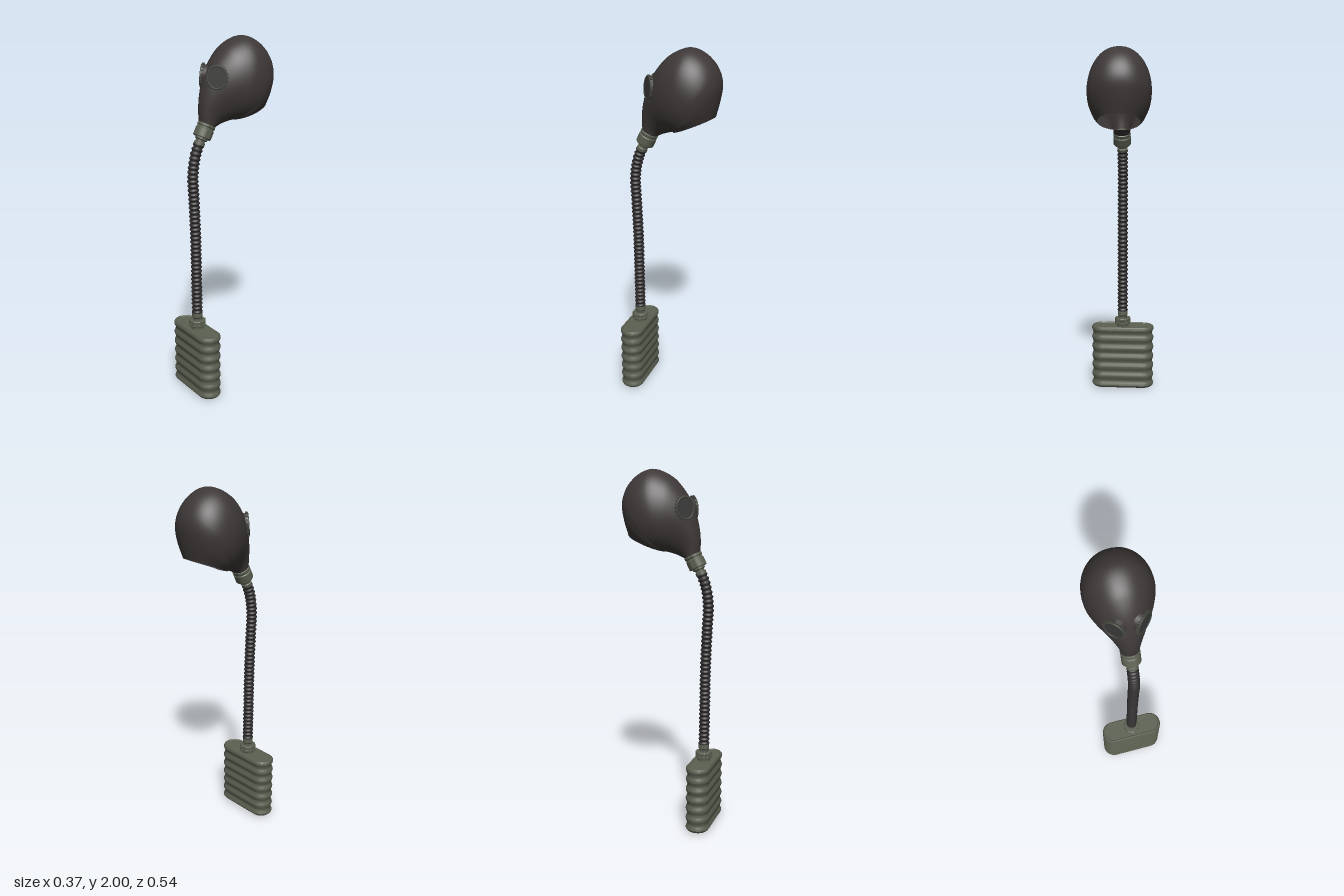
import * as THREE from 'three';
import { toCreasedNormals } from 'three/addons/utils/BufferGeometryUtils.js';

const flat = (name, color, extra = {}) => {
  const m = new THREE.MeshStandardMaterial({ color, ...extra });
  m.name = name;
  return m;
};

// Skin between closed rings; ring(i, angle) returns [x, y, z]
function loft(rings, sides, ring) {
  const pos = [], idx = [];
  for (let i = 0; i < rings; i++)
    for (let j = 0; j < sides; j++) pos.push(...ring(i, ((j + 0.5) / sides) * Math.PI * 2));
  for (let i = 0; i < rings - 1; i++)
    for (let j = 0; j < sides; j++) {
      const k = (j + 1) % sides;
      const a = i * sides + j, b = i * sides + k, c = a + sides, d = b + sides;
      idx.push(a, c, b, c, d, b);
    }
  const g = new THREE.BufferGeometry();
  g.setAttribute('position', new THREE.Float32BufferAttribute(pos, 3));
  g.setIndex(idx);
  g.computeVertexNormals();
  return g;
}

const lathe = (points, sides = 32) =>
  toCreasedNormals(new THREE.LatheGeometry(points.map(p => new THREE.Vector2(...p)), sides), 0.6);

export function createModel() {
  const model = new THREE.Group();
  model.name = 'gasMask';
  const rubber = flat('mask rubber', 0x3e3838, { side: THREE.DoubleSide });
  const hoseMat = flat('hose rubber', 0x302d2e);
  const green = flat('green metal', 0x5b6051);
  const rimMat = flat('eye rim metal', 0x45483f);
  const glass = flat('eye glass', 0x393837);
  const dark = flat('dark opening', 0x2b2d27);

  const add = (parent, name, geo, mat, x = 0, y = 0, z = 0) => {
    const m = new THREE.Mesh(geo, mat);
    m.name = name;
    m.position.set(x, y, z);
    parent.add(m);
    return m;
  };

  // Mask: sections fan from the muzzle over the crown to the open neck
  // each row: upper z, y; lower z, y; half width
  const sections = [
    [0.165, 1.56, 0.082, 1.525, 0.046],
    [0.167, 1.62, 0.068, 1.532, 0.052],
    [0.16, 1.685, 0.05, 1.54, 0.065],
    [0.14, 1.76, 0.03, 1.547, 0.085],
    [0.105, 1.84, 0.02, 1.55, 0.108],
    [0.06, 1.905, 0.01, 1.553, 0.13],
    [0, 1.962, 0, 1.556, 0.15],
    [-0.1, 2.0, -0.01, 1.558, 0.17],
    [-0.18, 1.972, -0.015, 1.56, 0.174],
    [-0.24, 1.912, -0.02, 1.56, 0.17],
    [-0.27, 1.83, -0.02, 1.56, 0.158],
    [-0.26, 1.735, -0.02, 1.56, 0.142],
    [-0.24, 1.65, -0.02, 1.56, 0.116],
  ];
  const upper = new THREE.CatmullRomCurve3(sections.map(s => new THREE.Vector3(s[4], s[1], s[0])));
  const lower = new THREE.CatmullRomCurve3(sections.map(s => new THREE.Vector3(0, s[3], s[2])));
  const steps = (sections.length - 1) * 4;
  add(model, 'maskHood', loft(steps + 1, 48, (i, a) => {
    const u = upper.getPoint(i / steps), l = lower.getPoint(i / steps);
    const s = Math.sin(a), c = Math.cos(a);
    return [
      u.x * Math.sign(c) * Math.pow(Math.abs(c), 0.94),
      (u.y + l.y) / 2 + ((u.y - l.y) / 2) * s,
      (u.z + l.z) / 2 + ((u.z - l.z) / 2) * s,
    ];
  }), rubber);

  // Eyepieces with a toothed rim
  for (const side of [1, -1]) {
    const eye = new THREE.Group();
    eye.name = side > 0 ? 'leftEyepiece' : 'rightEyepiece';
    eye.position.set(side * 0.072, 1.795, 0.106);
    eye.rotation.set(-0.08, side * 0.72, 0, 'YXZ');
    eye.scale.x = 0.88;
    model.add(eye);
    add(eye, 'eyeSeat', new THREE.CylinderGeometry(0.056, 0.062, 0.03, 32).rotateX(Math.PI / 2), rubber, 0, 0, -0.016);
    add(eye, 'eyeLens', new THREE.CylinderGeometry(0.054, 0.054, 0.006, 32).rotateX(Math.PI / 2), glass);
    add(eye, 'eyeRim', new THREE.TorusGeometry(0.058, 0.006, 8, 40), rimMat);
    for (let i = 0; i < 20; i++) {
      const a = (i / 20) * Math.PI * 2;
      const tooth = add(eye, 'rimTooth', new THREE.BoxGeometry(0.008, 0.01, 0.012), rimMat,
        Math.cos(a) * 0.062, Math.sin(a) * 0.062, -0.004);
      tooth.rotation.z = a;
    }
  }

  // Muzzle collar, tilted along the snout
  const collar = add(model, 'muzzleCollar', lathe([
    [0, -0.085], [0.024, -0.085], [0.03, -0.078], [0.03, -0.062], [0.025, -0.058], [0.025, -0.05],
    [0.034, -0.046], [0.034, -0.036], [0.047, -0.036], [0.05, -0.032], [0.05, 0.012], [0.046, 0.016],
    [0.046, 0.022], [0.05, 0.026], [0.05, 0.036], [0.045, 0.04], [0, 0.04],
  ]), green, 0, 1.51, 0.142);
  collar.rotation.x = -0.464;

  // Corrugated hose
  const path = new THREE.CatmullRomCurve3([
    [0.2, 0.47], [0.202, 0.7], [0.204, 0.92], [0.211, 1.13], [0.216, 1.28], [0.2, 1.38], [0.174, 1.45],
  ].map(([z, y]) => new THREE.Vector3(0, y, z)));
  const ribs = 40, perRib = 6, hoseSteps = ribs * perRib;
  add(model, 'hose', loft(hoseSteps + 1, 20, (i, a) => {
    const p = path.getPointAt(i / hoseSteps), t = path.getTangentAt(i / hoseSteps);
    const r = 0.028 - 0.0035 * Math.cos((i / perRib) * Math.PI * 2);
    return [r * Math.cos(a), p.y - t.z * r * Math.sin(a), p.z + t.y * r * Math.sin(a)];
  }), hoseMat);

  // Ribbed filter canister with a rounded-end section: rows of height, inset
  const half = 0.119, radius = 0.068;
  const rows = [[0.008, radius], [0.008, 0.01], [0.014, 0.004]];
  const canRibs = 6, perCanRib = 8;
  for (let i = 0; i <= canRibs * perCanRib; i++)
    rows.push([0.022 + (i / (canRibs * perCanRib)) * 0.348, 0.0045 * (1 - Math.cos((i / perCanRib) * Math.PI * 2))]);
  rows.push([0.38, 0.002], [0.385, 0.007], [0.385, 0.012], [0.381, 0.015], [0.381, radius]);
  add(model, 'filterCanister', toCreasedNormals(loft(rows.length, 48, (i, a) => {
    const r = radius - rows[i][1], c = Math.cos(a);
    return [c * r + Math.sign(c) * half, rows[i][0], Math.sin(a) * r];
  }), 0.6), green, 0, 0, 0.204);

  // Canister inlet ring and plug underneath
  add(model, 'inletRing', lathe([[0.022, 0.01], [0.022, 0.002], [0.026, 0], [0.04, 0], [0.045, 0.003], [0.045, 0.01]].reverse()
    .map(([r, y]) => [r, y]).reverse()), flat('inlet metal', 0x3d4137, { side: THREE.DoubleSide }), 0, 0, 0.204);
  add(model, 'inletOpening', new THREE.CylinderGeometry(0.022, 0.022, 0.004, 24), dark, 0, 0.006, 0.204);

  // Outlet neck, lugged nut and hose socket
  add(model, 'outletNeck', lathe([
    [0.036, 0.378], [0.036, 0.396], [0.043, 0.396], [0.046, 0.4], [0.046, 0.407], [0.04, 0.41], [0.04, 0.42],
    [0.046, 0.423], [0.046, 0.43], [0.042, 0.434], [0.025, 0.434], [0.025, 0.445], [0.03, 0.452],
    [0.03, 0.475], [0.025, 0.492], [0, 0.492],
  ]), green, 0, 0, 0.2);
  for (let i = 0; i < 10; i++) {
    const a = (i / 10) * Math.PI * 2;
    const lug = add(model, 'nutLug', new THREE.BoxGeometry(0.01, 0.034, 0.009), green,
      Math.cos(a) * 0.043, 0.415, 0.2 + Math.sin(a) * 0.043);
    lug.rotation.y = -a;
  }
  return model;
}
